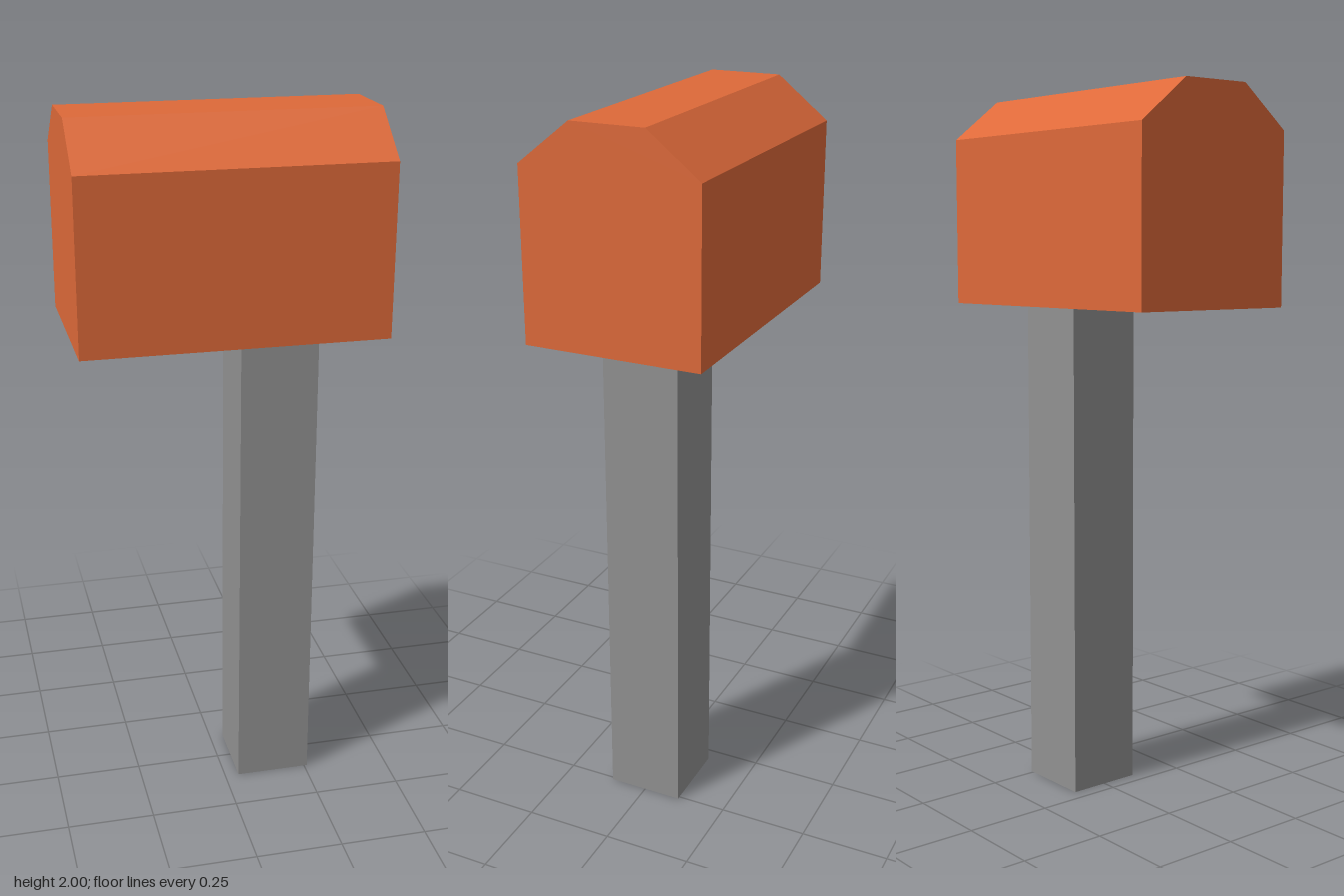
import * as THREE from 'three';

export function createModel() {
  const model = new THREE.Group();

  const orange = new THREE.MeshStandardMaterial({ color: 0xdd6939, flatShading: true });
  orange.name = 'orange paint';
  const grey = new THREE.MeshStandardMaterial({ color: 0x919191, flatShading: true, side: THREE.DoubleSide });
  grey.name = 'grey post';

  // Box: six-sided profile with sloped shoulders, extruded along x
  const bottom = 1.418, shoulder = 1.885, top = 2;
  const half = 0.247, ridge = 0.102, length = 0.83;
  const profile = new THREE.Shape([
    [-half, bottom], [half, bottom], [half, shoulder],
    [ridge, top], [-ridge, top], [-half, shoulder],
  ].map(([z, y]) => new THREE.Vector2(z, y)));
  const boxGeometry = new THREE.ExtrudeGeometry(profile, { depth: length, bevelEnabled: false });
  boxGeometry.translate(0, 0, -length / 2).rotateY(Math.PI / 2);
  const box = new THREE.Mesh(boxGeometry, orange);
  box.name = 'mailbox';
  model.add(box);

  // Post: square hollow tube, open underneath and set off centre
  const radius = 0.109 * Math.SQRT2;
  const postGeometry = new THREE.CylinderGeometry(radius, radius, bottom, 4, 1, true, Math.PI / 4);
  const post = new THREE.Mesh(postGeometry, grey);
  post.name = 'post';
  post.position.set(0.15, bottom / 2, 0);
  model.add(post);

  return model;
}
